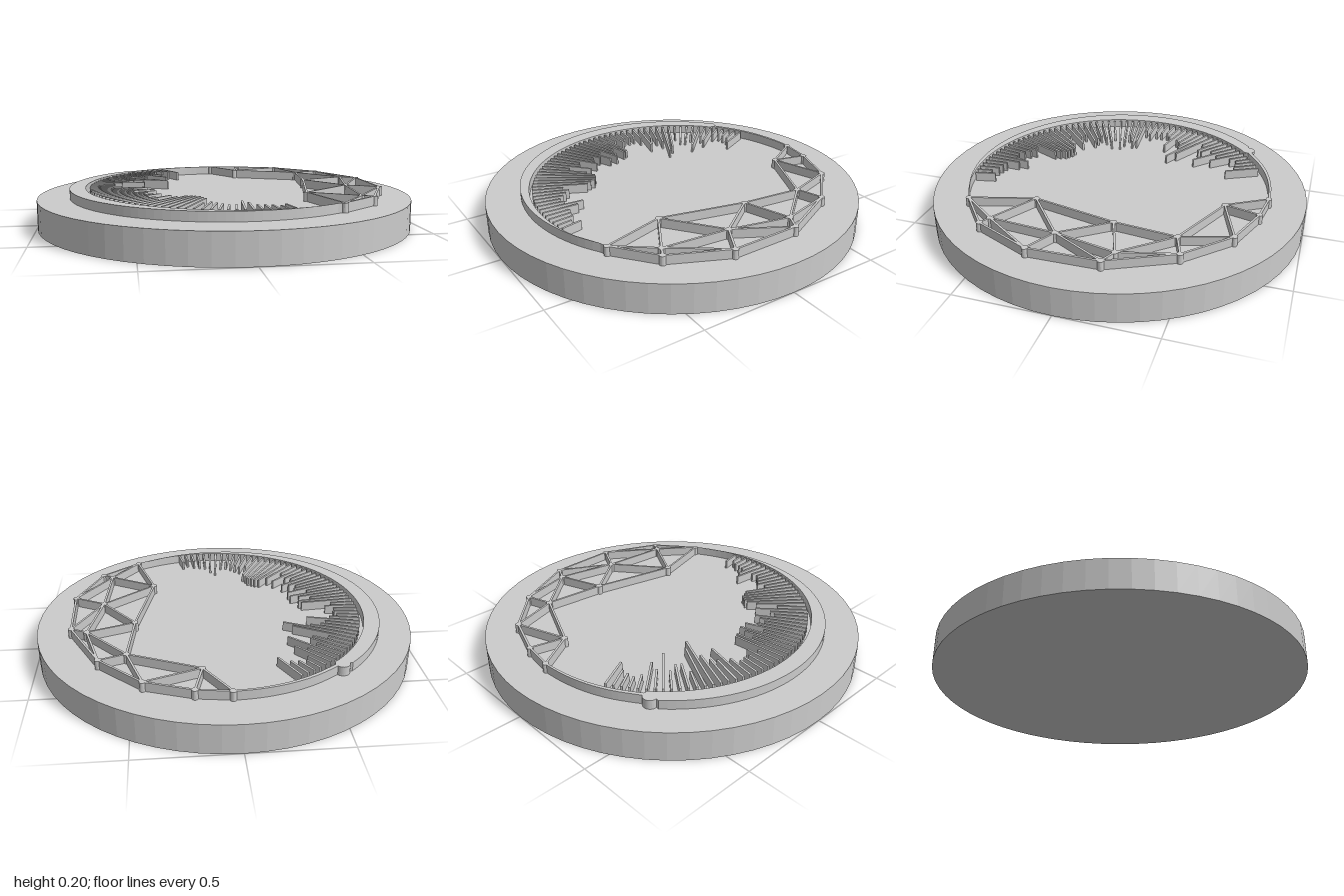
import * as THREE from 'three';

const BASE = 0.155, TOP = 0.203, SINK = 0.005;
const H = TOP - BASE + SINK, MID = TOP - H / 2;

export function createModel() {
  const model = new THREE.Group();
  const mat = new THREE.MeshStandardMaterial({ color: 0xcccccc, flatShading: true });

  const add = (parent, name, geo, x = 0, y = 0, z = 0) => {
    const m = new THREE.Mesh(geo, mat);
    m.name = name;
    m.position.set(x, y, z);
    parent.add(m);
    return m;
  };
  const group = (name) => {
    const g = new THREE.Group();
    g.name = name;
    model.add(g);
    return g;
  };
  // Upright bar between two plan points [x, z]
  const bar = (parent, name, a, b, width) => {
    const dx = b[0] - a[0], dz = b[1] - a[1];
    const m = add(parent, name, new THREE.BoxGeometry(Math.hypot(dx, dz), H, width),
      (a[0] + b[0]) / 2, MID, (a[1] + b[1]) / 2);
    m.rotation.y = -Math.atan2(dz, dx);
  };
  // Raised plate from a plan outline of [x, z] points
  const plate = (name, pts) => {
    const shape = new THREE.Shape(pts.map((p) => new THREE.Vector2(p[0], p[1])));
    const geo = new THREE.ExtrudeGeometry(shape, { depth: H, bevelEnabled: false });
    geo.rotateX(Math.PI / 2);
    add(model, name, geo, 0, TOP, 0);
  };
  const arc = (cx, cz, r, from, to, n) => Array.from({ length: n + 1 }, (_, i) => {
    const t = THREE.MathUtils.degToRad(from + (to - from) * i / n);
    return [cx + r * Math.cos(t), cz + r * Math.sin(t)];
  });

  // Round base
  add(model, 'base', new THREE.CylinderGeometry(1, 1, BASE, 64), 0, BASE / 2, 0);

  // Crescent rim: two offset arcs tapering to a point at the front
  plate('crescentRim', [
    [0.475, 0.668],
    ...arc(-0.01, -0.01, 0.822, 57, 228, 60),
    ...arc(0.05, -0.01, 0.798, 229, 62, 60),
  ]);
  add(model, 'rimEnd', new THREE.CylinderGeometry(0.036, 0.036, H, 24), -0.51, MID, -0.625);

  // Thin sliver carrying the rim on to the lattice
  const curve = (pts) => new THREE.SplineCurve(pts.map((p) => new THREE.Vector2(...p)))
    .getPoints(20).map((v) => [v.x, v.y]);
  plate('rimSliver', [
    ...curve([[-0.485, -0.645], [-0.36, -0.723], [-0.235, -0.775], [-0.1, -0.806], [0.03, -0.817]]),
    ...curve([[0.03, -0.806], [-0.1, -0.793], [-0.235, -0.759], [-0.36, -0.703], [-0.485, -0.622]]),
  ]);

  // Radial ticks of varying length inside the rim
  const lengths = [
    19, 13, 11, 9, 11, 22, 16, 30, 15, 20, 20, 13, 33, 39, 25, 20, 18, 28, 16, 12,
    13, 13, 17, 13, 29, 30, 22, 28, 32, 20, 31, 25, 22, 25, 28, 18, 20, 28, 16, 27,
    32, 33, 33, 33, 31, 29, 16, 19, 17, 15, 13, 14, 23, 19, 13, 12, 11, 8, 11];
  const ticks = group('ticks');
  lengths.forEach((len, i) => {
    const t = THREE.MathUtils.degToRad(242.9 - 164.4 * i / (lengths.length - 1));
    const at = (r) => [0.06 + r * Math.cos(t), -0.01 + r * Math.sin(t)];
    bar(ticks, 'tick', at(0.787 - len / 100), at(0.787), 0.011);
  });

  // Triangulated lattice: posts at the nodes, thin walls between them
  const nodes = {
    A: [0.03, -0.81], B: [0.2, -0.785], C: [0.155, -0.605], D: [0.435, -0.7], E: [0.515, -0.445],
    F: [0.65, -0.49], G: [0.725, -0.205], H: [0.808, -0.165], I: [0.48, -0.12], J: [0.655, 0.115],
    K: [0.815, 0.2], L: [0.38, 0.33], M: [0.625, 0.47], N: [0.68, 0.5], O: [0.475, 0.665],
  };
  const walls = 'AB AC BC BD CD CE DE DF EF EG EI FG FH GH GI GJ HJ HK IJ IL JK JL JM KM KN LM LO MN MO NO';
  const lattice = group('lattice');
  for (const p of Object.values(nodes)) {
    add(lattice, 'latticePost', new THREE.CylinderGeometry(0.016, 0.016, H, 16), p[0], MID, p[1]);
  }
  for (const [a, b] of walls.split(' ')) bar(lattice, 'latticeWall', nodes[a], nodes[b], 0.011);

  return model;
}
